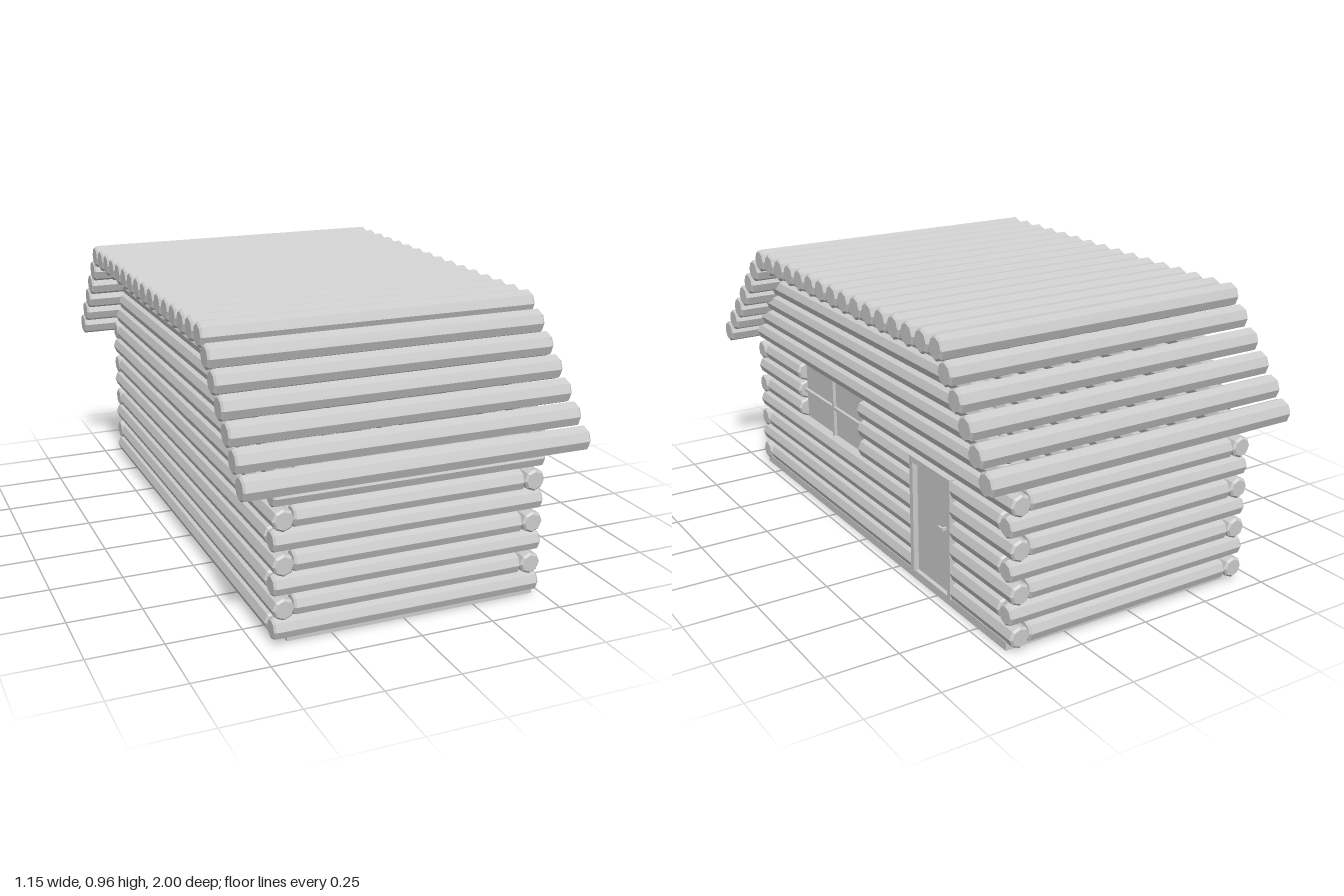
import * as THREE from 'three';

const material = new THREE.MeshStandardMaterial({ color: 0xcccccc, flatShading: true });
const LEFT = 0.44, RIGHT = -0.42, FRONT = 0.872, BACK = -0.91;
const R = 0.0365, ROOF_R = 0.041, STEP = 0.0722, BASE = 0.052;
const rowY = (k) => BASE + k * STEP;

// Eight-sided log with slightly chamfered ends, lying along x or z
function log(parent, name, axis, from, to, a, b, r = R) {
  const h = Math.abs(to - from) / 2, c = 0.007;
  const profile = [[0, -h], [r - c, -h], [r, -h + c], [r, h - c], [r - c, h], [0, h]]
    .map(([x, y]) => new THREE.Vector2(x, y));
  const mesh = new THREE.Mesh(new THREE.LatheGeometry(profile, 8), material);
  mesh.name = name;
  const mid = (from + to) / 2;
  if (axis === 'x') { // a = y, b = z
    mesh.rotation.z = Math.PI / 2;
    mesh.position.set(mid, a, b);
  } else { // a = x, b = y
    mesh.rotation.x = Math.PI / 2;
    mesh.position.set(a, b, mid);
  }
  parent.add(mesh);
}

// Box given by its limits on each axis
function box(parent, name, x0, x1, y0, y1, z0, z1) {
  const mesh = new THREE.Mesh(new THREE.BoxGeometry(x1 - x0, y1 - y0, z1 - z0), material);
  mesh.name = name;
  mesh.position.set((x0 + x1) / 2, (y0 + y1) / 2, (z0 + z1) / 2);
  parent.add(mesh);
}

function group(parent, name) {
  const g = new THREE.Group();
  g.name = name;
  parent.add(g);
  return g;
}

export function createModel() {
  const cabin = new THREE.Group();
  cabin.name = 'logCabin';

  box(cabin, 'floor', -0.4, 0.47, 0, 0.03, -0.91, 0.875);

  // End walls: rows alternately overlap the corners and fit between the side walls
  const ends = group(cabin, 'endWalls');
  for (let k = 0; k < 8; k++) {
    const long = [-0.452, 0.475], short = [-0.385, 0.405];
    const [f, b] = k % 2 ? [short, long] : [long, short];
    log(ends, 'frontWallLog', 'x', f[0], f[1], rowY(k), FRONT);
    log(ends, 'backWallLog', 'x', b[0], b[1], rowY(k), BACK);
  }

  // Side walls: gable rows shorten under the roof, openings split the left wall
  const gable = [[-0.88, 0.855], [-0.83, 0.8], [-0.775, 0.74], [-0.72, 0.672]];
  const sides = group(cabin, 'sideWalls');
  for (let k = 0; k < 12; k++) {
    const [z0, z1] = k > 7 ? gable[k - 8] : k % 2 ? [-0.875, 0.907] : [-0.945, 0.837];
    log(sides, 'rightWallLog', 'z', z0, z1, RIGHT, rowY(k));
    const cuts = [z0];
    if (k < 6) cuts.push(-0.585, -0.34);
    if (k >= 4 && k <= 6) cuts.push(0.04, 0.52);
    cuts.push(z1);
    for (let i = 0; i < cuts.length; i += 2) {
      log(sides, 'leftWallLog', 'z', cuts[i], cuts[i + 1], LEFT, rowY(k));
    }
  }

  // Roof: front slope, flat top and back slope
  const roof = group(cabin, 'roof');
  const courses = [];
  for (let i = 0; i < 6; i++) courses.push([0.959 - i * 0.059, 0.558 + i * 0.062]);
  for (let i = 0; i < 16; i++) courses.push([0.6 - i * 0.0857, 0.919]);
  for (let i = 0; i < 5; i++) courses.push([-0.736 - i * 0.0555, 0.855 - i * 0.0665]);
  for (const [z, y] of courses) log(roof, 'roofLog', 'x', -0.577, 0.577, y, z, ROOF_R);

  // Window with four panes
  const win = group(cabin, 'window');
  box(win, 'windowPane', 0.43, 0.44, 0.305, 0.52, 0.036, 0.524);
  box(win, 'windowUpright', 0.425, 0.452, 0.305, 0.52, 0.273, 0.285);
  box(win, 'windowCrossbar', 0.425, 0.452, 0.407, 0.419, 0.04, 0.52);

  // Door with frame and handle
  const door = group(cabin, 'door');
  box(door, 'doorPanel', 0.43, 0.455, 0.025, 0.425, -0.57, -0.355);
  box(door, 'doorFramePost', 0.415, 0.474, 0.025, 0.445, -0.355, -0.335);
  box(door, 'doorFramePost', 0.415, 0.474, 0.025, 0.445, -0.59, -0.57);
  box(door, 'doorFrameLintel', 0.415, 0.474, 0.425, 0.445, -0.57, -0.355);
  box(door, 'handleStem', 0.455, 0.47, 0.25, 0.26, -0.542, -0.532);
  box(door, 'handleLever', 0.464, 0.472, 0.25, 0.258, -0.542, -0.51);

  return cabin;
}
